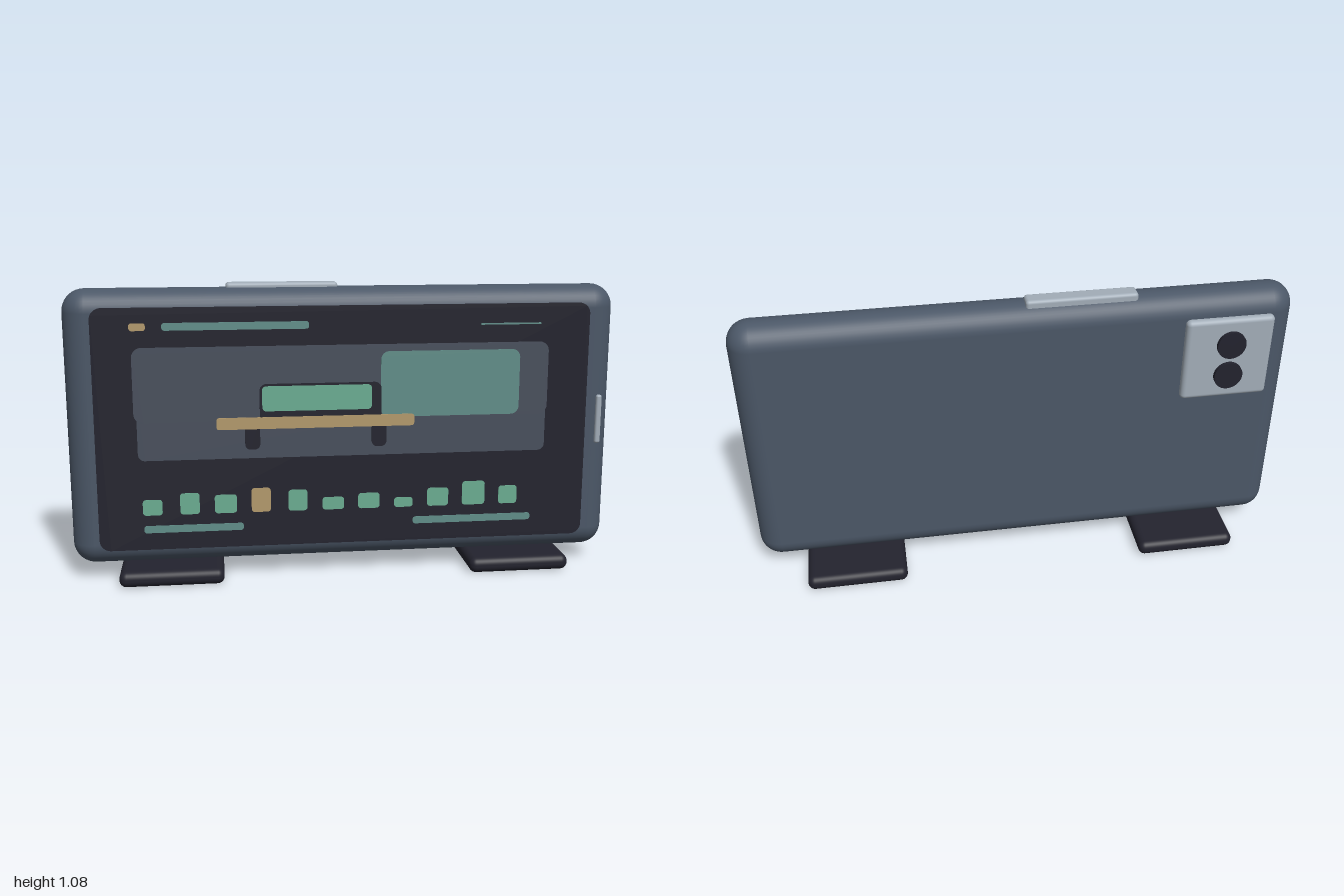
import * as THREE from 'three';
import { RoundedBoxGeometry } from 'three/addons/geometries/RoundedBoxGeometry.js';

function material(name, color) {
  const m = new THREE.MeshStandardMaterial({ color });
  m.name = name;
  return m;
}

export function createModel() {
  const slate = material('slate', 0x4b5767);
  const dark = material('dark', 0x23232e);
  const silver = material('silver', 0xa2adb8);
  const panelGrey = material('panelGrey', 0x484f5c);
  const teal = material('teal', 0x618e89);
  const green = material('green', 0x6bad92);
  const tan = material('tan', 0xb39a6c);

  const model = new THREE.Group();
  model.name = 'desktopDevice';

  function add(parent, name, geometry, mat) {
    const mesh = new THREE.Mesh(geometry, mat);
    mesh.name = name;
    parent.add(mesh);
    return mesh;
  }

  // Rounded box given by its limits on each axis
  function block(name, x0, x1, y0, y1, z0, z1, radius, mat) {
    const g = new RoundedBoxGeometry(x1 - x0, y1 - y0, z1 - z0, 5, radius);
    g.translate((x0 + x1) / 2, (y0 + y1) / 2, (z0 + z1) / 2);
    return add(model, name, g, mat);
  }

  // Upright plate with rounded corners, from z0 to z1
  function plate(parent, name, x0, x1, y0, y1, r, z0, z1, mat) {
    const s = new THREE.Shape();
    s.absarc(x1 - r, y1 - r, r, 0, Math.PI / 2);
    s.absarc(x0 + r, y1 - r, r, Math.PI / 2, Math.PI);
    s.absarc(x0 + r, y0 + r, r, Math.PI, Math.PI * 1.5);
    s.absarc(x1 - r, y0 + r, r, Math.PI * 1.5, Math.PI * 2);
    const g = new THREE.ExtrudeGeometry(s, { depth: z1 - z0, bevelEnabled: false, curveSegments: 6 });
    g.translate(0, 0, z0);
    return add(parent, name, g, mat);
  }

  // Case, feet and keys
  block('case', -1, 1, 0.057, 1.06, -0.057, 0.109, 0.082, slate);
  for (const x of [-0.642, 0.642]) {
    block('foot', x - 0.188, x + 0.188, 0, 0.057, -0.188, 0.19, 0.026, dark);
  }
  block('topKey', -0.425, -0.025, 1.035, 1.075, -0.018, 0.045, 0.012, silver);
  block('sideKey', 0.935, 0.957, 0.47, 0.653, 0.09, 0.118, 0.008, silver);

  // Rear camera plate with two lenses
  block('cameraPlate', -0.917, -0.592, 0.653, 0.977, -0.081, -0.04, 0.018, silver);
  for (const y of [0.877, 0.751]) {
    const g = new THREE.CylinderGeometry(0.053, 0.053, 0.035, 32);
    g.rotateX(Math.PI / 2);
    g.translate(-0.76, y, -0.077);
    add(model, 'lens', g, dark);
  }

  // Screen
  const Z = 0.1195;
  plate(model, 'screen', -0.898, 0.894, 0.121, 0.997, 0.04, 0.08, Z, dark);

  // Painted picture; each layer lies slightly in front of the last
  const picture = new THREE.Group();
  picture.name = 'screenPicture';
  model.add(picture);
  const paint = (name, x0, x1, y0, y1, r, layer, mat) =>
    plate(picture, name, x0, x1, y0, y1, r, Z - 0.001, Z + layer * 0.0011, mat);

  paint('sceneLower', -0.75, 0.738, 0.452, 0.7, 0.025, 1, panelGrey);
  paint('sceneUpper', -0.76, 0.743, 0.588, 0.858, 0.035, 1.3, panelGrey);
  paint('sceneWindow', 0.123, 0.636, 0.592, 0.832, 0.03, 2.3, teal);
  paint('cabinBody', -0.315, 0.125, 0.585, 0.722, 0.025, 3.2, dark);
  paint('cabinWindow', -0.306, 0.09, 0.623, 0.714, 0.015, 4.1, green);
  for (const x of [-0.342, 0.117]) {
    paint('tableLeg', x - 0.027, x + 0.027, 0.484, 0.58, 0.02, 3.5, dark);
  }
  paint('tableTop', -0.47, 0.246, 0.559, 0.602, 0.01, 4.8, tan);

  // Status row and captions
  paint('statusDot', -0.765, -0.708, 0.917, 0.944, 0.01, 2, tan);
  paint('titleBar', -0.652, -0.136, 0.917, 0.944, 0.01, 2, teal);
  paint('thinLine', 0.487, 0.711, 0.922, 0.928, 0.002, 2, teal);
  paint('captionBar', -0.738, -0.38, 0.184, 0.211, 0.01, 2, teal);
  paint('captionBar', 0.246, 0.693, 0.184, 0.211, 0.01, 2, teal);

  // Row of small tiles: centre x, width, height
  const tiles = [
    [-0.705, 0.07, 0.058], [-0.572, 0.07, 0.079], [-0.443, 0.08, 0.069], [-0.315, 0.07, 0.09],
    [-0.181, 0.07, 0.079], [-0.051, 0.08, 0.047], [0.081, 0.08, 0.058], [0.21, 0.07, 0.037],
    [0.339, 0.08, 0.069], [0.474, 0.086, 0.09], [0.605, 0.07, 0.069],
  ];
  tiles.forEach(([x, w, h], i) =>
    paint('tile', x - w / 2, x + w / 2, 0.25, 0.25 + h, 0.012, 2, i === 3 ? tan : green));

  return model;
}
